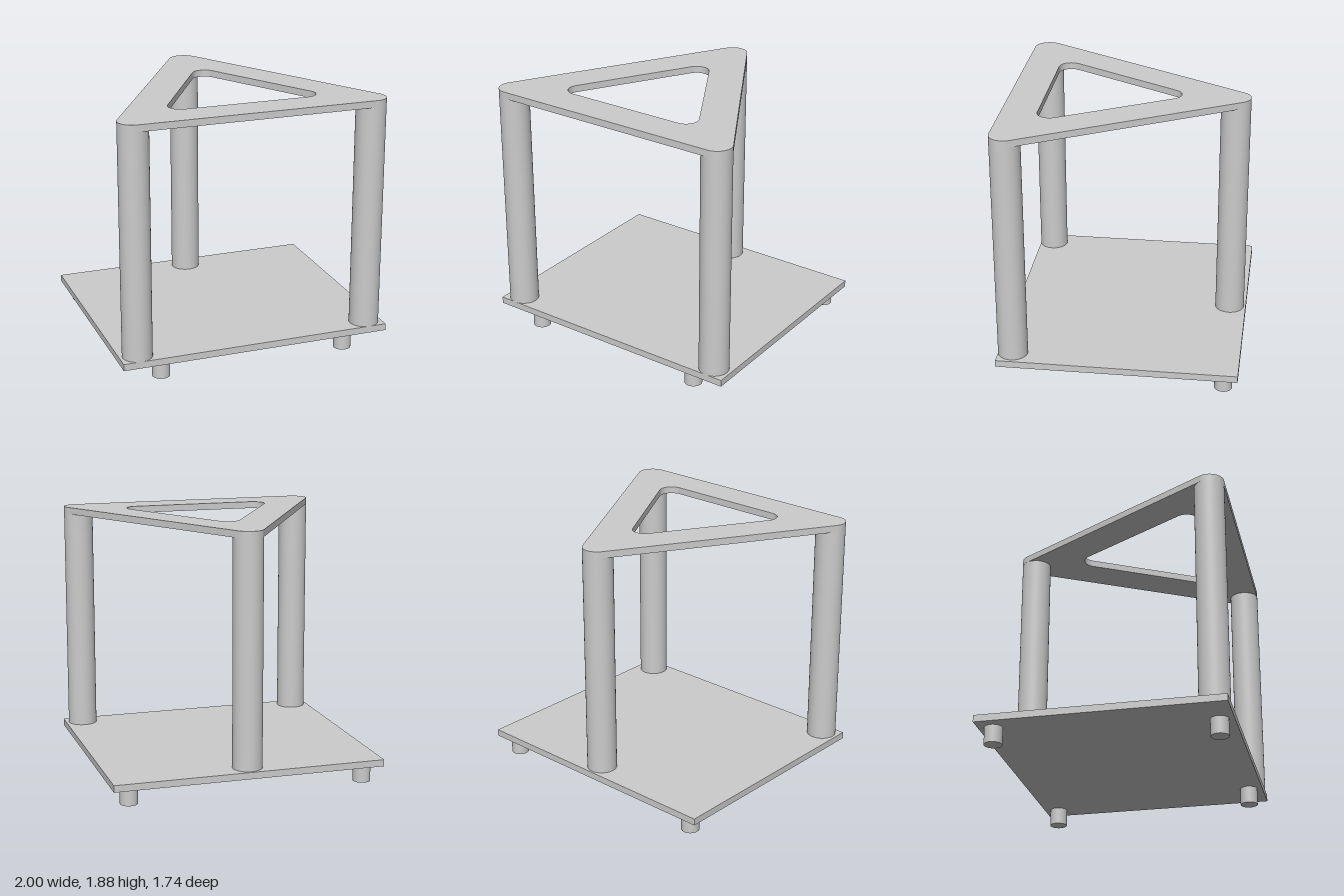
import * as THREE from 'three';
import { toCreasedNormals } from 'three/addons/utils/BufferGeometryUtils.js';

const CENTRE_Z = 0.257; // centroid of the triangular top
const CORNERS = [Math.PI / 6, (5 * Math.PI) / 6, (3 * Math.PI) / 2];
const POST_REACH = 1.004; // centroid to post axis
const POST_RADIUS = 0.108;

// Equilateral triangle with rounded corners, drawn in the x-z plane
function roundedTriangle(path, reach, radius) {
  for (const a of CORNERS) {
    path.absarc(reach * Math.cos(a), CENTRE_Z + reach * Math.sin(a), radius, a - Math.PI / 3, a + Math.PI / 3, false);
  }
  path.closePath();
  return path;
}

export function createModel() {
  const model = new THREE.Group();
  model.name = 'triangularTopStand';
  const material = new THREE.MeshStandardMaterial({ color: 0xcccccc });

  const add = (name, geometry, x, y, z) => {
    const mesh = new THREE.Mesh(geometry, material);
    mesh.name = name;
    mesh.position.set(x, y, z);
    model.add(mesh);
  };

  // Base plate
  add('basePlate', new THREE.BoxGeometry(2, 0.05, 1.735), 0, 0.15, -0.002);

  // Feet: the front pair stands closer together than the back pair
  const foot = new THREE.CylinderGeometry(0.064, 0.064, 0.125, 32);
  for (const side of [-1, 1]) {
    add('frontFoot', foot, side * 0.698, 0.0625, 0.763);
    add('backFoot', foot, side * 0.87, 0.0625, -0.762);
  }

  // One post under each corner of the top
  const post = new THREE.CylinderGeometry(POST_RADIUS, POST_RADIUS, 1.655, 48);
  for (const a of CORNERS) {
    add('post', post, POST_REACH * Math.cos(a), 1.0025, CENTRE_Z + POST_REACH * Math.sin(a));
  }

  // Triangular top with a matching rounded opening
  const outline = roundedTriangle(new THREE.Shape(), POST_REACH, POST_RADIUS);
  outline.holes.push(roundedTriangle(new THREE.Path(), 0.525, 0.09));
  const top = new THREE.ExtrudeGeometry(outline, { depth: 0.05, bevelEnabled: false, curveSegments: 16 });
  top.rotateX(Math.PI / 2);
  add('triangularTop', toCreasedNormals(top, 0.6), 0, 1.88, 0);

  return model;
}
